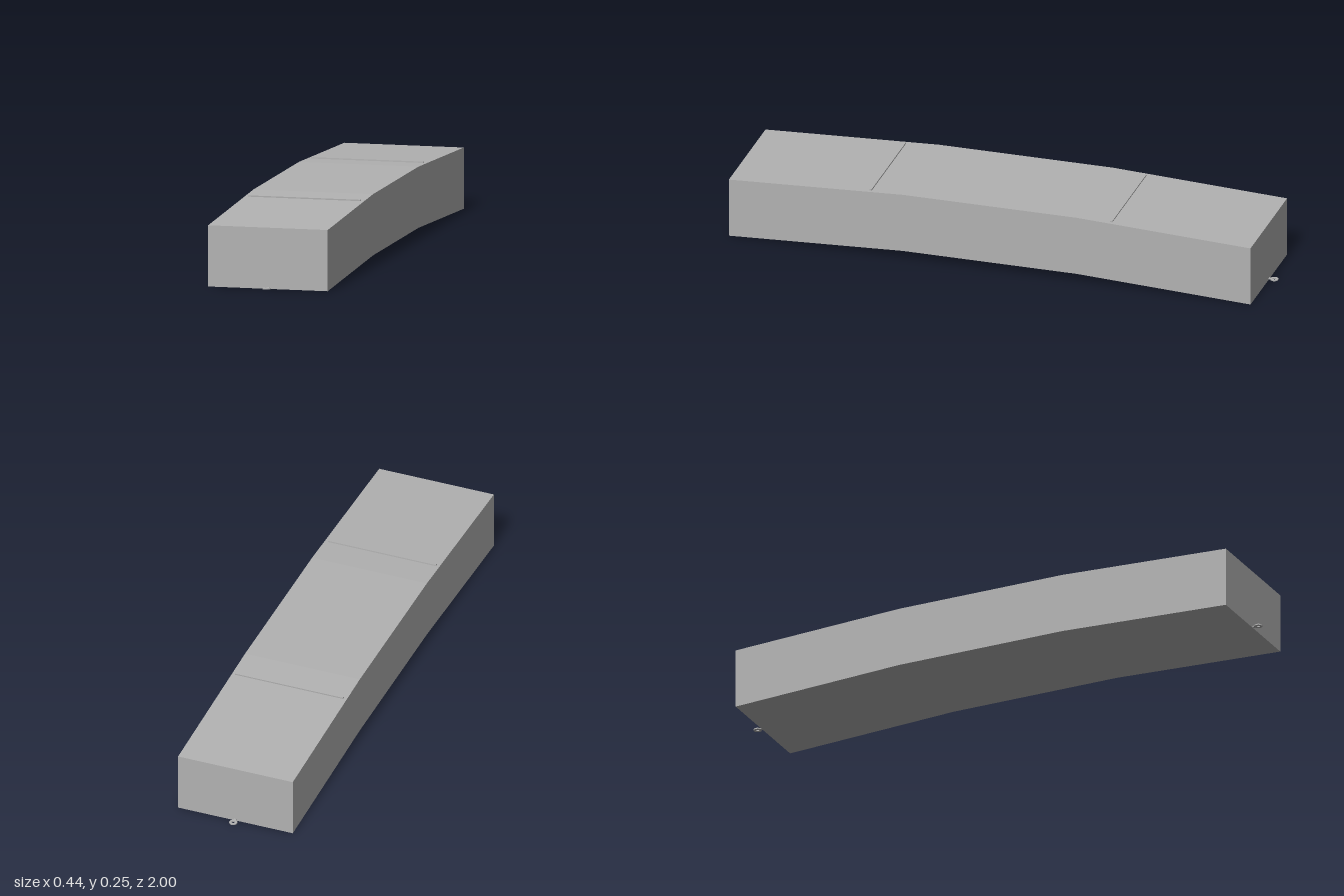
import * as THREE from 'three';

export function createModel() {
  const model = new THREE.Group();
  const grey = new THREE.MeshStandardMaterial({ color: 0xb2b2b2 });
  grey.name = 'plain grey';

  const add = (name, geometry, x, y, z, parent = model) => {
    const mesh = new THREE.Mesh(geometry, grey);
    mesh.name = name;
    mesh.position.set(x, y, z);
    parent.add(mesh);
    return mesh;
  };

  // Main slab: three equal lengths, the outer two sloping down to the ends
  const halfWidth = 0.218, end = 0.965, bend = end / 3, rise = 0.03, height = 0.219;
  const profile = new THREE.Shape([
    [-end, 0], [-bend, rise], [bend, rise], [end, 0],
    [end, height], [bend, height + rise], [-bend, height + rise], [-end, height],
  ].map(([z, y]) => new THREE.Vector2(z, y)));
  const slab = new THREE.ExtrudeGeometry(profile, { depth: halfWidth * 2, bevelEnabled: false });
  slab.translate(0, 0, -halfWidth).rotateY(-Math.PI / 2);
  add('archedSlab', slab, 0, 0, 0);

  // Flat eyelet: a disc with a hole
  const disc = new THREE.Shape().absarc(0, 0, 0.0145, 0, Math.PI * 2);
  disc.holes.push(new THREE.Path().absarc(0, 0, 0.006, 0, Math.PI * 2, true));
  const eyelet = new THREE.ExtrudeGeometry(disc, { depth: 0.004, bevelEnabled: false, curveSegments: 12 });
  eyelet.rotateX(-Math.PI / 2);

  for (const side of [1, -1]) {
    const label = side > 0 ? 'front' : 'back';

    // Thin cross strip on the slope
    const strip = add(label + 'CrossStrip', new THREE.BoxGeometry(0.41, 0.01, 0.009), 0, 0.243, side * 0.445);
    strip.rotation.x = side * Math.atan(rise / (end - bend));

    // Eyelet and its tab at the foot of the end face
    const coupling = new THREE.Group();
    coupling.name = label + 'Coupling';
    model.add(coupling);
    add('eyelet', eyelet, 0, 0.0025, side * 0.9855, coupling);
    add('tab', new THREE.BoxGeometry(0.01, 0.004, 0.012), 0, 0.0045, side * 0.968, coupling);
  }
  return model;
}
